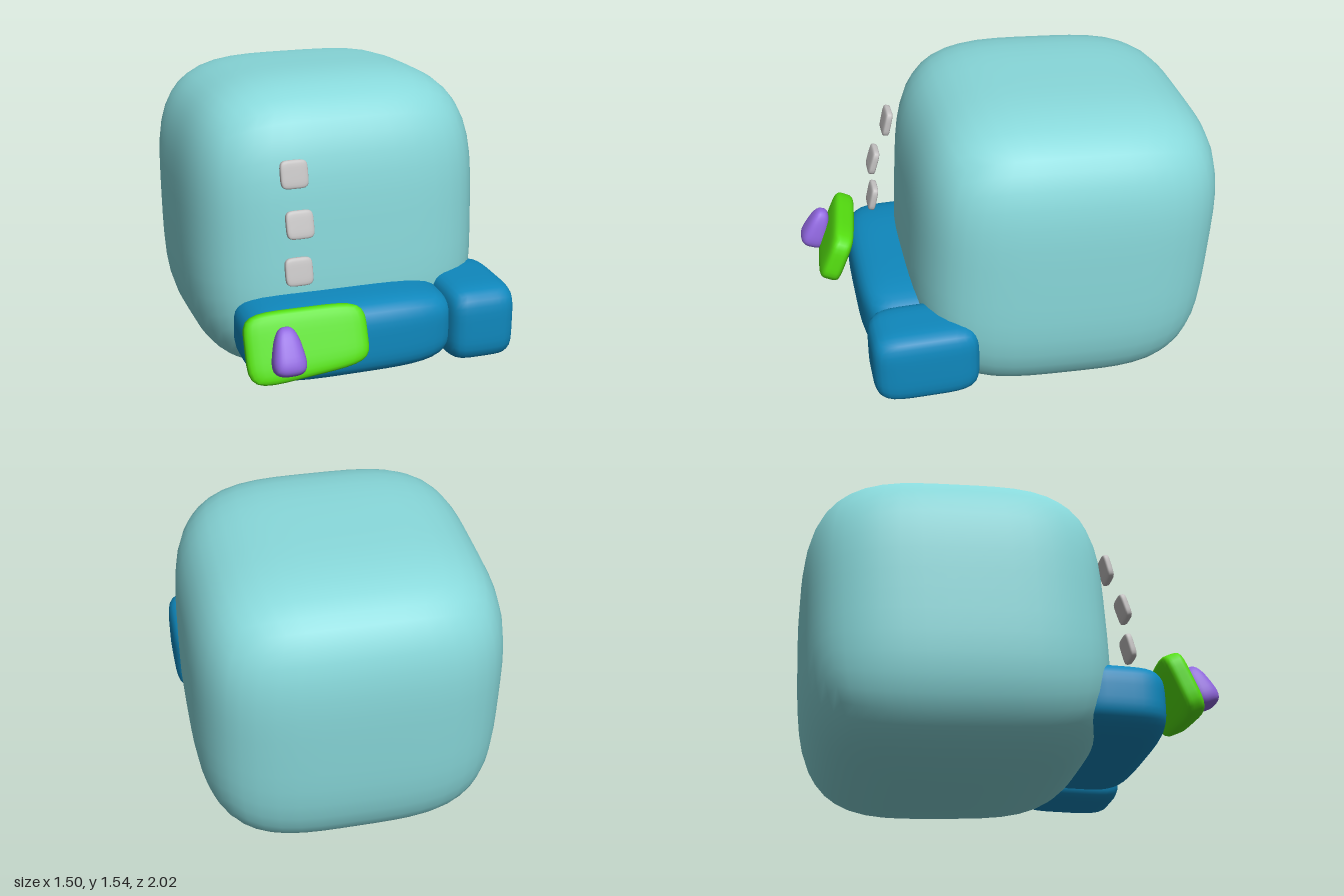
import * as THREE from 'three';
import { mergeVertices } from 'three/addons/utils/BufferGeometryUtils.js';

const material = (name, color) => {
  const m = new THREE.MeshStandardMaterial({ color });
  m.name = name;
  return m;
};

// Soft block: a cube pulled onto a superellipsoid, optionally bent by a shape rule
function softBlock(radii, power, segments, rule) {
  const g = new THREE.BoxGeometry(2, 2, 2, segments, segments, segments);
  g.deleteAttribute('uv');
  g.deleteAttribute('normal');
  const p = g.attributes.position;
  const v = new THREE.Vector3();
  for (let i = 0; i < p.count; i++) {
    v.fromBufferAttribute(p, i);
    const len = Math.pow(
      Math.abs(v.x) ** power + Math.abs(v.y) ** power + Math.abs(v.z) ** power, 1 / power);
    v.divideScalar(len);
    if (rule) rule(v);
    p.setXYZ(i, v.x * radii[0], v.y * radii[1], v.z * radii[2]);
  }
  const merged = mergeVertices(g, 1e-5);
  merged.computeVertexNormals();
  return merged;
}

export function createModel() {
  const model = new THREE.Group();
  model.name = 'model';
  const teal = material('pale teal', 0x88d8da);
  const blue = material('blue', 0x0f88bd);
  const green = material('bright green', 0x55e010);
  const purple = material('purple', 0x8f66de);
  const grey = material('light grey', 0xc4c2c2);

  const add = (name, geometry, mat, position, rotation = [0, 0, 0]) => {
    const mesh = new THREE.Mesh(geometry, mat);
    mesh.name = name;
    mesh.position.set(...position);
    mesh.rotation.set(...rotation);
    model.add(mesh);
  };

  // Large rounded body, tipped slightly back
  add('body', softBlock([0.75, 0.76, 0.755], 3.7, 14), teal, [0, 0.768, -0.24], [-0.06, 0, 0]);

  // Long bar across the front and the block at its left end
  add('frontBar', softBlock([0.52, 0.192, 0.26], 4, 12), blue, [-0.075, 0.384, 0.52]);
  add('endBlock', softBlock([0.175, 0.19, 0.262], 4.8, 10), blue, [0.575, 0.381, 0.518]);

  // Leaning plate, shallower towards its left end
  const taperPlate = (v) => { if (v.y < 0) v.y *= 1 - 0.2 * v.x; };
  add('plate', softBlock([0.284, 0.158, 0.06], 5, 10, taperPlate), green,
    [-0.353, 0.47, 0.832], [-0.4, -0.13, 0]);

  // Knob on the plate, narrow at the top
  const taperKnob = (v) => {
    const s = 0.86 - 0.28 * v.y;
    v.x *= s;
    v.z *= s;
  };
  add('knob', softBlock([0.08, 0.112, 0.07], 3, 10, taperKnob), purple,
    [-0.467, 0.48, 0.925], [-0.4, 0, 0]);

  // Column of three buttons
  const button = softBlock([0.066, 0.067, 0.019], 5, 8);
  [[-0.316, 1.175, 0.53, -0.24], [-0.314, 0.957, 0.612, -0.3], [-0.324, 0.731, 0.626, -0.24]]
    .forEach(([x, y, z, tilt], i) => add(`button${i + 1}`, button, grey, [x, y, z], [tilt, 0, 0]));

  return model;
}
